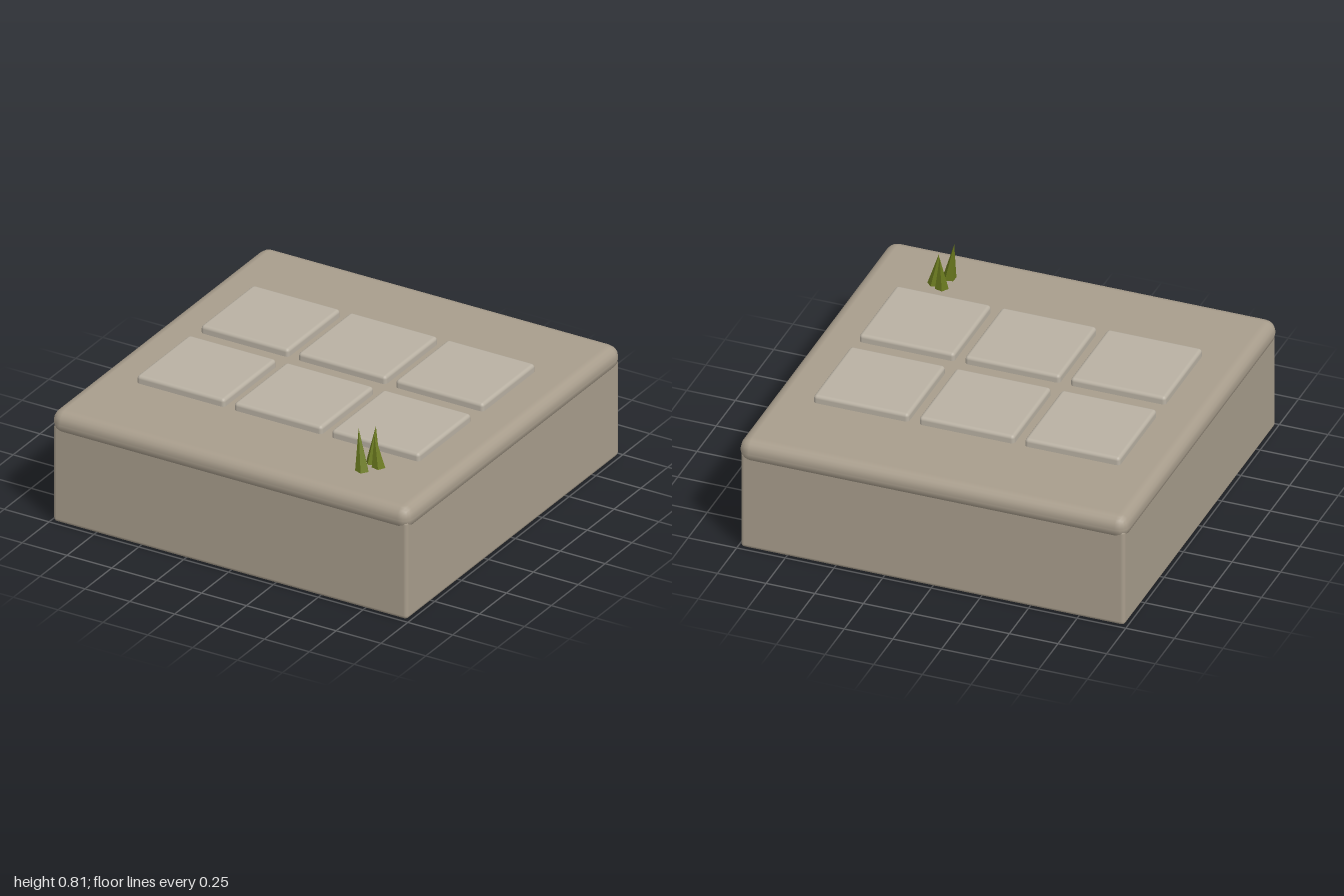
import * as THREE from 'three';
import { RoundedBoxGeometry } from 'three/addons/geometries/RoundedBoxGeometry.js';

export function createModel() {
  const group = new THREE.Group();
  const stone = new THREE.MeshStandardMaterial({ color: 0xa89d8c });
  const paleStone = new THREE.MeshStandardMaterial({ color: 0xb9b1a3 });
  const grass = new THREE.MeshStandardMaterial({ color: 0x6b7a1e, flatShading: true });

  // rounded block given by its bottom and top heights
  function block(name, width, bottom, top, radius, x, z, material) {
    const geometry = new RoundedBoxGeometry(width, top - bottom, width, 2, radius);
    const mesh = new THREE.Mesh(geometry, material);
    mesh.name = name;
    mesh.position.set(x, (bottom + top) / 2, z);
    group.add(mesh);
  }

  // foundation and the overhanging slab on top of it
  block('base', 1.975, 0, 0.53, 0.02, 0, 0, stone);
  block('topSlab', 2, 0.475, 0.602, 0.06, 0, 0, stone);

  // two rows of three paving tiles
  for (const z of [-0.298, 0.298]) {
    for (const x of [-0.543, 0, 0.543]) {
      block('pavingTile', 0.49, 0.58, 0.643, 0.018, x, z, paleStone);
    }
  }

  // grass tuft: five-sided blades leaning from a root to a tip
  const tuft = new THREE.Group();
  tuft.name = 'grassTuft';
  const blades = [
    [[0.6, 0.755], [0.565, 0.81, 0.732]],
    [[0.6, 0.66], [0.6, 0.785, 0.63]],
    [[0.648, 0.682], [0.625, 0.772, 0.685]],
  ];
  blades.forEach(([[x, z], tip], i) => {
    const root = 0.595, height = tip[1] - root;
    const geometry = new THREE.ConeGeometry(0.036, height, 5);
    geometry.rotateY(i * 0.7 + 0.3);
    geometry.translate(0, height / 2, 0);
    // shear the cone so its point reaches the tip
    geometry.applyMatrix4(new THREE.Matrix4().set(
      1, (tip[0] - x) / height, 0, 0,
      0, 1, 0, 0,
      0, (tip[2] - z) / height, 1, 0,
      0, 0, 0, 1));
    geometry.computeVertexNormals();
    const blade = new THREE.Mesh(geometry, grass);
    blade.name = 'grassBlade';
    blade.position.set(x, root, z);
    tuft.add(blade);
  });
  group.add(tuft);

  return group;
}
